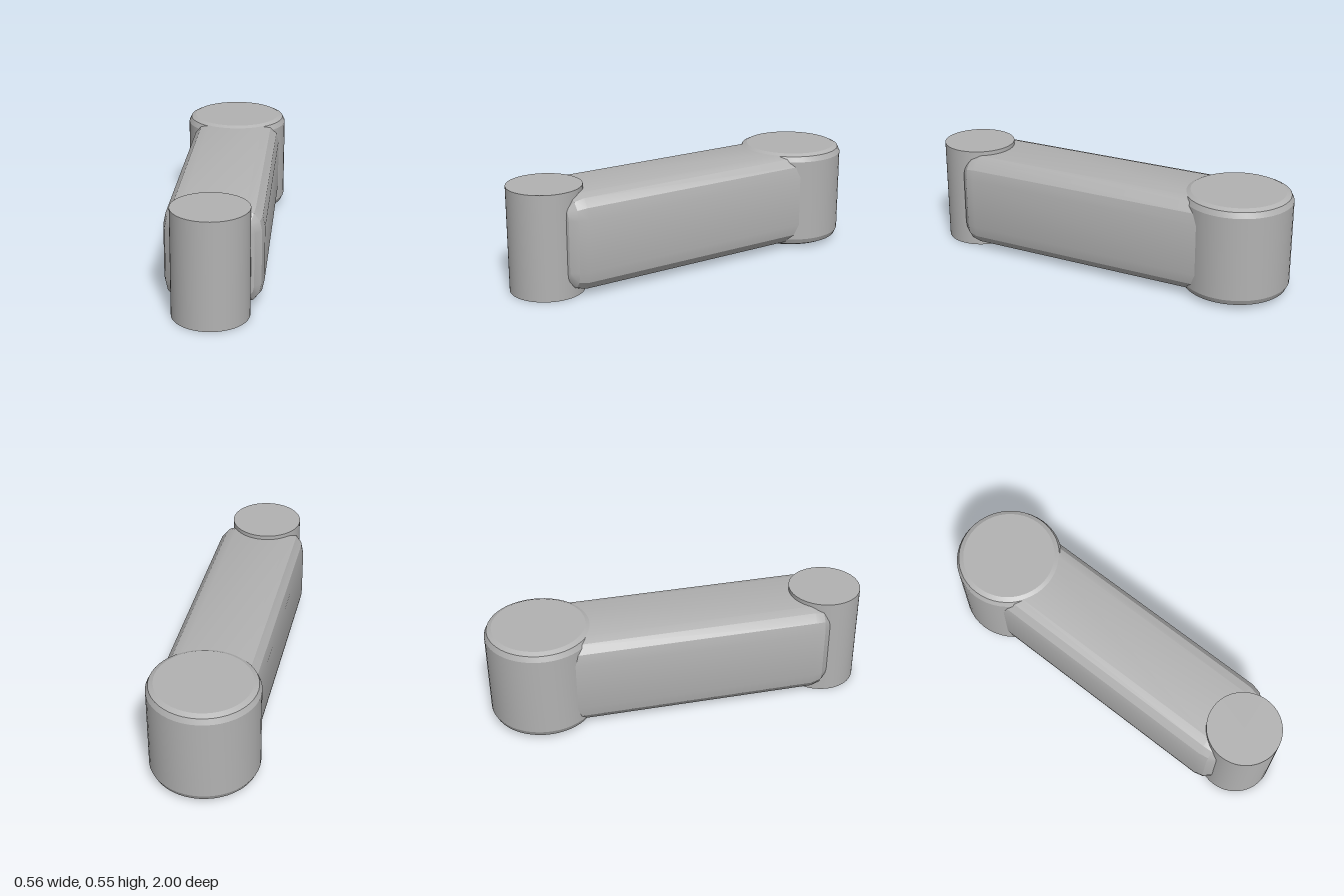
import * as THREE from 'three';
import { toCreasedNormals } from 'three/addons/utils/BufferGeometryUtils.js';

// Box-like bar with faceted rounded long edges and a rounded front end
function barGeometry() {
  const cx = 0.1525, cy = 0.135, rx = 0.09, ry = 0.115, steps = 3;
  const midX = 0.0075, midY = 0.275;
  const sections = [[-0.72, 1], [0.7, 1]];
  for (let k = 1; k <= steps; k++) {
    const a = (k / steps) * Math.PI / 2;
    sections.push([0.7 + 0.1 * Math.sin(a), Math.max(Math.cos(a), 0.02)]);
  }
  const signs = [[1, 1], [-1, 1], [-1, -1], [1, -1]];
  const pos = [], idx = [];
  for (const [z, s] of sections) {
    signs.forEach(([sx, sy], q) => {
      for (let k = 0; k <= steps; k++) {
        const a = (q + k / steps) * Math.PI / 2;
        pos.push(midX + sx * cx + rx * s * Math.cos(a), midY + sy * cy + ry * s * Math.sin(a), z);
      }
    });
  }
  const n = 4 * (steps + 1), last = (sections.length - 1) * n;
  const back = pos.length / 3, front = back + 1;
  pos.push(midX, midY, sections[0][0], midX, midY, 0.8);
  for (let j = 0; j < n; j++) {
    const k = (j + 1) % n;
    for (let i = 0; i < last; i += n) idx.push(i + j, i + k, i + n + k, i + j, i + n + k, i + n + j);
    idx.push(front, last + j, last + k, back, k, j);
  }
  const g = new THREE.BufferGeometry();
  g.setAttribute('position', new THREE.Float32BufferAttribute(pos, 3));
  g.setIndex(idx);
  return toCreasedNormals(g, 0.4);
}

export function createModel() {
  const group = new THREE.Group();
  const grey = new THREE.MeshStandardMaterial({ color: 0xb2b2b2 });
  grey.name = 'grey';

  const add = (name, geometry, x, y, z) => {
    const mesh = new THREE.Mesh(geometry, grey);
    mesh.name = name;
    mesh.position.set(x, y, z);
    group.add(mesh);
  };

  // Slim upright pin at the front
  add('frontPin', new THREE.CylinderGeometry(0.19, 0.19, 0.547, 64), 0, 0.2735, 0.81);

  // Wide hub with softened rims at the back
  const profile = [[0, 0.015], [0.24, 0.015], [0.265, 0.027], [0.278, 0.055],
    [0.278, 0.495], [0.265, 0.523], [0.24, 0.535], [0, 0.535]]
    .map(([r, y]) => new THREE.Vector2(r, y));
  add('rearHub', toCreasedNormals(new THREE.LatheGeometry(profile, 48), 0.4), 0, 0, -0.722);

  // Arm joining the pin and the hub
  add('arm', barGeometry(), 0, 0, 0);
  return group;
}
